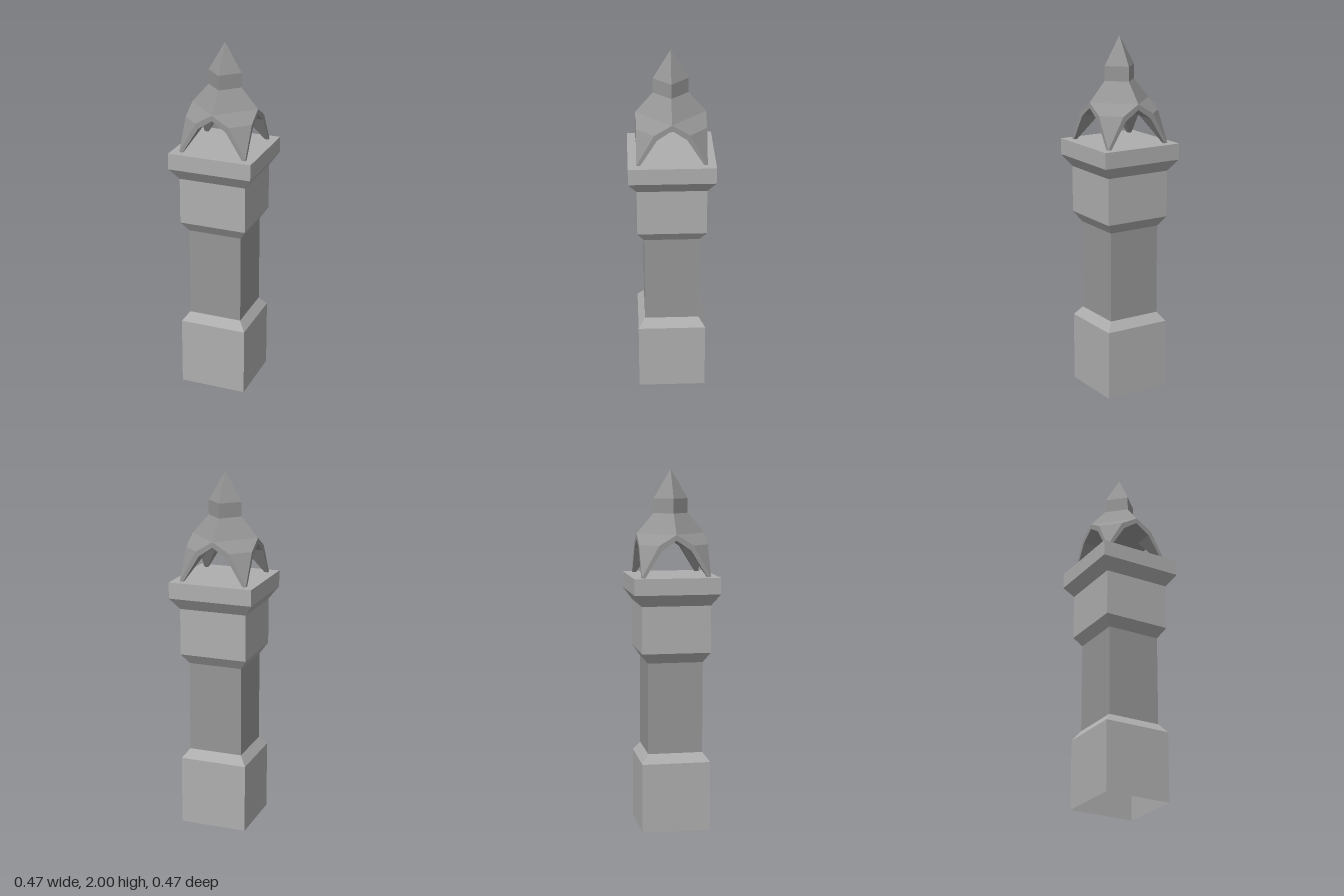
import * as THREE from 'three';

const stone = new THREE.MeshStandardMaterial({ color: 0xaeaeae, flatShading: true, side: THREE.DoubleSide });
const darkStone = new THREE.MeshStandardMaterial({ color: 0x969696, flatShading: true, side: THREE.DoubleSide });

// Square column section from [half width, height] pairs
function squareSection(name, material, profile) {
  const points = profile.map(([w, y]) => new THREE.Vector2(w * Math.SQRT2, y));
  const mesh = new THREE.Mesh(new THREE.LatheGeometry(points, 4, Math.PI / 4), material);
  mesh.name = name;
  return mesh;
}

// Build a flat-shaded geometry from quads, dropping collapsed triangles
function fromQuads(quads) {
  const positions = [];
  const triangle = (a, b, c) => {
    if (new THREE.Triangle(a, b, c).getArea() < 1e-7) return;
    for (const p of [a, b, c]) positions.push(p.x, p.y, p.z);
  };
  for (const [a, b, c, d] of quads) {
    triangle(a, b, c);
    triangle(a, c, d);
  }
  const geometry = new THREE.BufferGeometry();
  geometry.setAttribute('position', new THREE.Float32BufferAttribute(positions, 3));
  geometry.computeVertexNormals();
  return geometry;
}

// Diagonal-facing profile: s = |x| + |z|, trimmed to a square of half width HALF
const HALF = 0.19;
const sideX = ([s, y]) => new THREE.Vector3(Math.min(s, HALF), y, Math.max(s - HALF, 0));
const sideZ = ([s, y]) => new THREE.Vector3(Math.max(s - HALF, 0), y, Math.min(s, HALF));
// Line on which the two crossing vaults meet
const groin = ([s, y]) => new THREE.Vector3(s - HALF, y, s - HALF);

function loft(profile) {
  const quads = [];
  for (let i = 0; i < profile.length - 1; i++) {
    const [p, q] = [profile[i], profile[i + 1]];
    quads.push([sideX(p), sideZ(p), sideZ(q), sideX(q)]);
  }
  return quads;
}

// One quarter of the canopy: outer skin, arch edges and crossing vault soffits
function canopyQuarter() {
  const outer = [[0.19, 1.65], [0.285, 1.592], [0.38, 1.42]];
  const inner = [[0.19, 1.62], [0.27, 1.565], [0.36, 1.42]];
  const quads = loft([[0.095, 1.76], ...outer]);
  for (let i = 0; i < 2; i++) {
    const [p, q] = [inner[i], inner[i + 1]];
    const edge = [outer[i], outer[i + 1], q, p];
    quads.push(edge.map(sideX), edge.map(sideZ).reverse());
    quads.push([sideZ(p), groin(p), groin(q), sideZ(q)]);
    quads.push([sideX(q), groin(q), groin(p), sideX(p)]);
  }
  return fromQuads(quads);
}

export function createModel() {
  const model = new THREE.Group();
  model.name = 'pillar';

  // Hollow square column, open underneath
  model.add(
    squareSection('base', stone, [[0.19, 0], [0.19, 0.39], [0.152, 0.44]]),
    squareSection('shaft', darkStone, [[0.152, 0.44], [0.152, 0.948]]),
    squareSection('capital', stone, [[0.152, 0.948], [0.19, 1.005], [0.19, 1.265]]),
    squareSection('cornice', stone, [[0.19, 1.265], [0.236, 1.33], [0.236, 1.42], [0, 1.42]])
  );

  // Four-arched canopy and finial, one quarter per corner
  const canopy = new THREE.Group();
  canopy.name = 'canopy';
  const finial = new THREE.Group();
  finial.name = 'finial';
  const quarter = canopyQuarter();
  const spire = fromQuads(loft([[0, 2], [0.095, 1.84], [0.095, 1.76]]));
  for (let i = 0; i < 4; i++) {
    const vault = new THREE.Mesh(quarter, darkStone);
    vault.name = 'canopyQuarter';
    const spireSide = new THREE.Mesh(spire, darkStone);
    spireSide.name = 'finialSide';
    vault.rotation.y = spireSide.rotation.y = i * Math.PI / 2;
    canopy.add(vault);
    finial.add(spireSide);
  }
  model.add(canopy, finial);
  return model;
}
